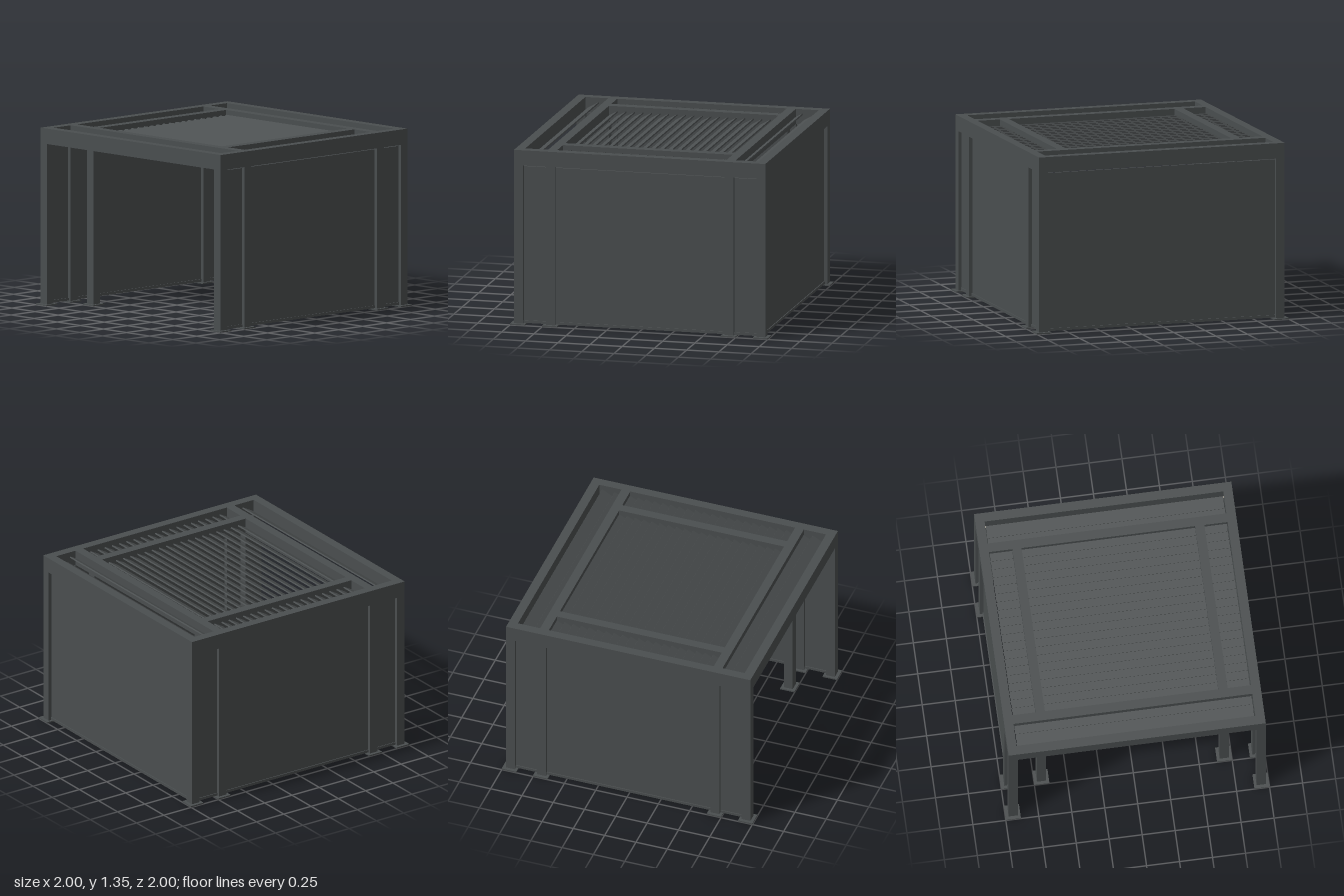
import * as THREE from 'three';

export function createModel() {
  const model = new THREE.Group();
  model.name = 'louveredPergola';

  const anthracite = new THREE.MeshStandardMaterial({ color: 0x4a4e4f });
  anthracite.name = 'anthracite';
  const warmLight = new THREE.MeshStandardMaterial({ color: 0xe0d5c0 });
  warmLight.name = 'warm light';

  const box = (name, w, h, d, x, y, z, material = anthracite) => {
    const mesh = new THREE.Mesh(new THREE.BoxGeometry(w, h, d), material);
    mesh.name = name;
    mesh.position.set(x, y, z);
    model.add(mesh);
    return mesh;
  };

  const T = 0.07;         // profile width of posts and beams
  const OUT = 0.94;       // centre line of outer frame
  const IN = 0.693;       // centre line of inner frame
  const SPAN = 2 * OUT - T;
  const BEAM_LOW = 1.228, BEAM_TOP = 1.345;
  const beamH = BEAM_TOP - BEAM_LOW, beamY = (BEAM_TOP + BEAM_LOW) / 2;

  // Posts on square foot plates: three near each corner
  for (const sx of [-1, 1]) {
    for (const sz of [-1, 1]) {
      for (const [x, z] of [[OUT, OUT], [OUT, IN], [IN, IN]]) {
        box('post', T, BEAM_LOW - 0.008, T, sx * x, (BEAM_LOW + 0.008) / 2, sz * z);
        box('footPlate', 0.115, 0.01, 0.115, sx * (x === OUT ? 0.9425 : x), 0.005,
          sz * (z === OUT ? 0.9425 : z));
      }
    }
  }

  for (const s of [-1, 1]) {
    // Roof beams
    box('endBeam', 2 * OUT + T, beamH, T, 0, beamY, s * OUT);
    box('sideBeam', T, beamH, SPAN, s * OUT, beamY, 0);
    box('crossBeam', SPAN, beamH, T, 0, beamY, s * IN);
    box('innerBeam', T, beamH, 2 * IN - T, s * IN, beamY, 0);

    // Light strip along the inside of each end beam
    box('lightStrip', SPAN, 0.01, 0.013, 0, BEAM_LOW + 0.008, s * 0.8985, warmLight);

    // Side screens with bottom rail
    box('sideScreen', 0.016, 1.188, SPAN, s * OUT, 0.624, 0);
    box('sideScreenRail', 0.03, 0.02, SPAN, s * OUT, 0.022, 0);
  }

  // Back screen with bottom rail
  box('backScreen', SPAN, 1.188, 0.016, 0, 0.624, -OUT);
  box('backScreenRail', SPAN, 0.02, 0.03, 0, 0.022, -OUT);

  // Tilted roof louvers, sloping down towards the front
  const TILT = 0.5;
  const louver = (z, run) => {
    const slat = box('louver', SPAN - 0.012, 0.01, run / Math.cos(TILT), 0, 1.285, z);
    slat.rotation.x = TILT;
  };
  const count = 20, pitch = (2 * IN - T) / count;
  for (let i = 0; i < count; i++) louver((i - (count - 1) / 2) * pitch, 0.074);
  for (const s of [-1, 1]) {
    louver(s * 0.84, 0.083);
    louver(s * 0.74, 0.083);
  }

  return model;
}
